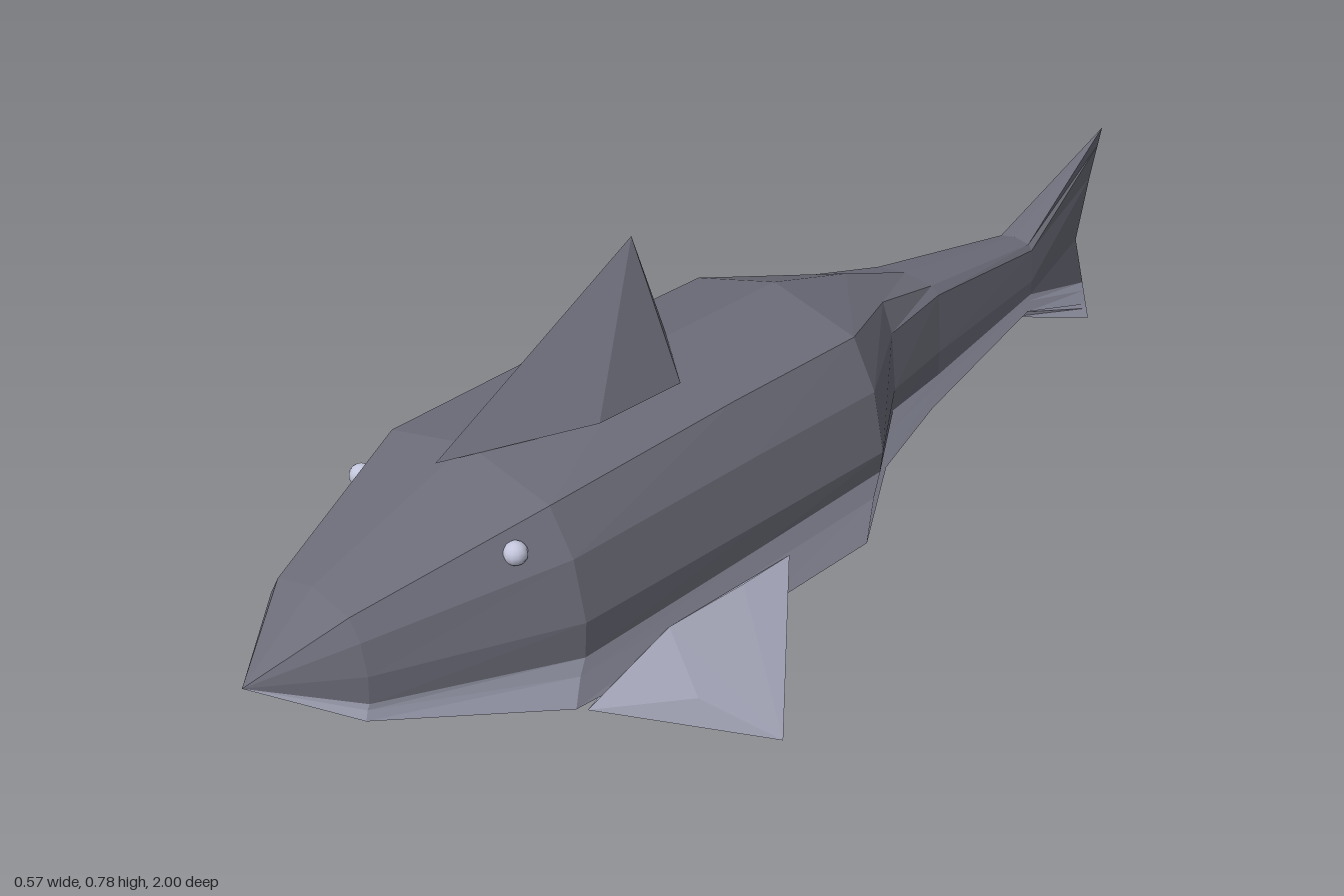
import * as THREE from 'three';
import { ConvexGeometry } from 'three/addons/geometries/ConvexGeometry.js';

const CENTRE = -0.02; // the body's plane of symmetry

// Nose to tail: z, half width, then heights of back, flank crease, widest line, colour line, keel
const stations = [
  [1, 0, 0.37, 0.37, 0.37, 0.37, 0.37],
  [0.87, 0.105, 0.47, 0.42, 0.37, 0.325, 0.27],
  [0.58, 0.23, 0.572, 0.465, 0.37, 0.31, 0.147],
  [0.2, 0.23, 0.59, 0.47, 0.37, 0.322, 0.1],
  [-0.08, 0.23, 0.595, 0.47, 0.37, 0.333, 0.1],
  [-0.26, 0.11, 0.548, 0.47, 0.37, 0.33, 0.145],
  [-0.42, 0.08, 0.495, 0.475, 0.37, 0.325, 0.215],
  [-0.74, 0.042, 0.455, 0.44, 0.38, 0.354, 0.295],
  [-1, 0, 0.59, 0.5, 0.385, 0.285, 0.2, 0.065], // last number: depth of the tail's notch
];

// Half cross-section from back ridge to keel; the angular profile is shared by all stations
function halfRing([z, w, back, crease, side, line, keel, notch = 0]) {
  const belly = (t) => line + (keel - line) * t;
  return [
    [0, back], [0.72, crease + (back - crease) * 0.65], [0.91, crease], [1, side],
    [0.98, line], [0.93, belly(0.23)], [0.88, belly(0.61)], [0.46, belly(0.73)], [0, keel],
  ].map(([f, y]) => [f * w, y, z + notch * (1 - Math.abs(y - 0.395) / 0.195)]);
}

// Faceted skin between two levels of the cross-sections, on both sides
function skin(from, to) {
  const rings = stations.map(halfRing);
  const pos = [];
  for (const side of [1, -1]) {
    const tri = (a, b, c) => {
      for (const [x, y, z] of side > 0 ? [a, b, c] : [a, c, b]) pos.push(side * x, y, z);
    };
    for (let i = 0; i < rings.length - 1; i++) {
      for (let j = from; j < to; j++) {
        const [a, b] = [rings[i][j], rings[i][j + 1]];
        const [c, d] = [rings[i + 1][j], rings[i + 1][j + 1]];
        if (i > 0) tri(a, b, c); // the nose is a single point
        tri(b, d, c);
      }
    }
  }
  const g = new THREE.BufferGeometry();
  g.setAttribute('position', new THREE.Float32BufferAttribute(pos, 3));
  g.computeVertexNormals();
  return g;
}

const hull = (points) => new ConvexGeometry(points.map((p) => new THREE.Vector3(...p)));

export function createModel() {
  const slate = new THREE.MeshStandardMaterial({ color: 0x6b6c78 });
  slate.name = 'slate grey';
  const pale = new THREE.MeshStandardMaterial({ color: 0xc4c6dc });
  pale.name = 'pale grey';

  const fish = new THREE.Group();
  fish.name = 'fish';
  fish.position.x = CENTRE;
  const add = (name, geometry, material) => {
    const mesh = new THREE.Mesh(geometry, material);
    mesh.name = name;
    fish.add(mesh);
    return mesh;
  };

  // Body and forked tail, dark above and pale below
  add('upperBodyAndTail', skin(0, 4), slate);
  add('lowerBodyAndTail', skin(4, 8), pale);

  // Dorsal fin: long front ridge, square base, pointed rear
  add('dorsalFin', hull([
    [0, 0.565, 0.64], [0, 0.78, 0.24], [0, 0.594, 0.17], [0, 0.54, 0.2],
    [0.095, 0.57, 0.41], [-0.095, 0.57, 0.41],
    [0.095, 0.57, 0.24], [-0.095, 0.57, 0.24],
  ]), slate);

  // Side fins and eyes; the two fins spread slightly differently
  for (const [side, label, tip, elbow] of [
    [1, 'left', [0.302, 0.02], [0.255, 0.15]],
    [-1, 'right', [0.265, 0], [0.24, 0.142]],
  ]) {
    add(label + 'SideFin', hull([
      [0.205, 0.2, 0.56], [0.217, 0.27, 0.4], [0.22, 0.27, 0.24], [0.217, 0.27, 0.13],
      [0.2, 0.17, 0.13], [0.105, 0.16, 0.14], [0.105, 0.145, 0.38],
      [...elbow, 0.38], [...tip, 0.24],
    ].map(([x, y, z]) => [side * x, y, z])), pale);
    add(label + 'Eye', new THREE.SphereGeometry(0.018, 12, 8), pale)
      .position.set(side * 0.163, 0.487, 0.645);
  }

  const model = new THREE.Group();
  model.add(fish);
  return model;
}
